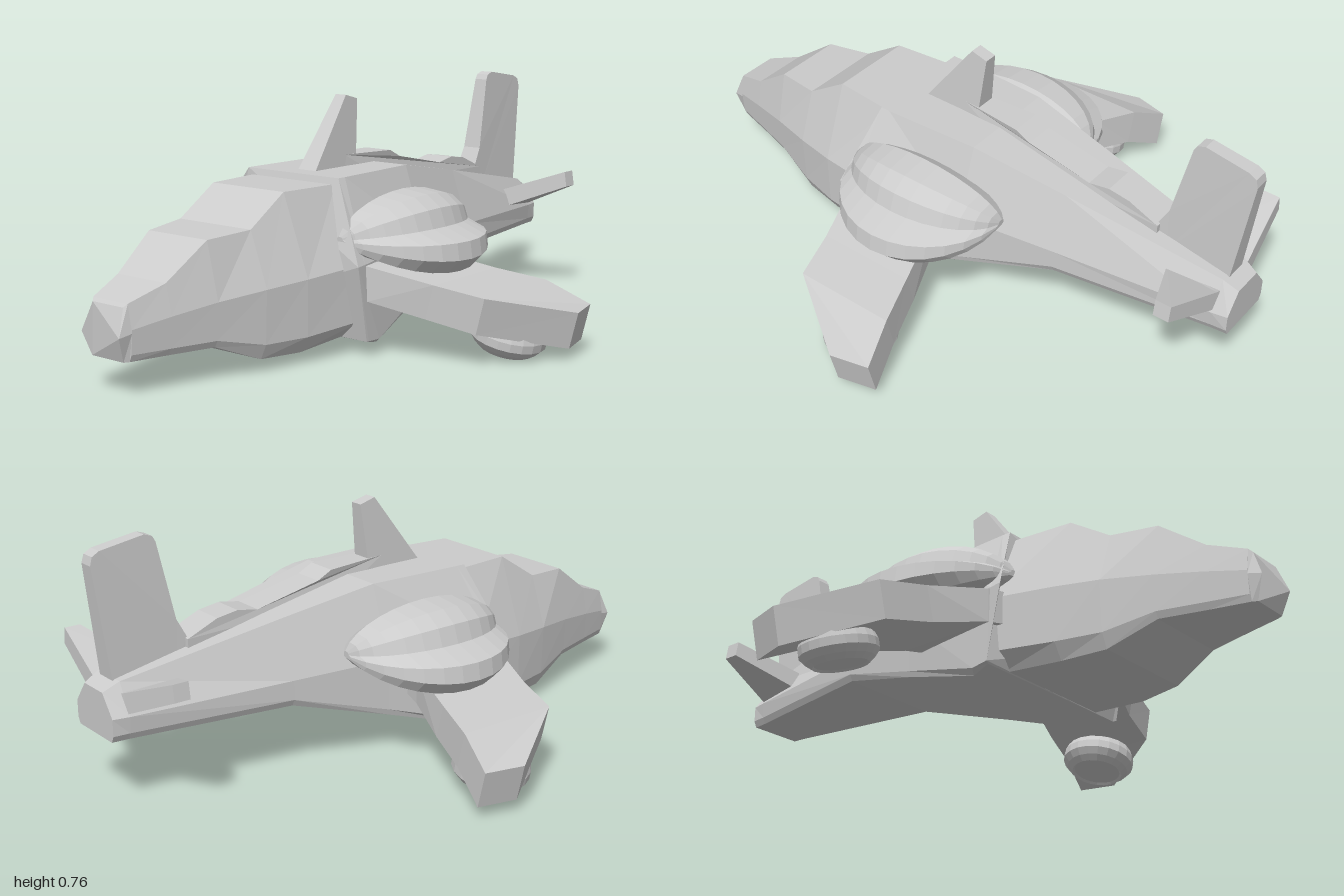
import * as THREE from 'three';

const material = new THREE.MeshStandardMaterial({ color: 0xcccccc, flatShading: true });

// Triangulates a closed ring of points, projected along its main axis
function capRing(ring) {
  const n = new THREE.Vector3();
  ring.forEach((p, i) => {
    const q = ring[(i + 1) % ring.length];
    n.x += (p[1] - q[1]) * (p[2] + q[2]);
    n.y += (p[2] - q[2]) * (p[0] + q[0]);
    n.z += (p[0] - q[0]) * (p[1] + q[1]);
  });
  const size = [Math.abs(n.x), Math.abs(n.y), Math.abs(n.z)];
  const k = size.indexOf(Math.max(...size));
  const a = (k + 1) % 3, b = (k + 2) % 3;
  const flip = n.getComponent(k) < 0;
  const flat = ring.map((p) => new THREE.Vector2(p[a], p[b]));
  if (flip) flat.reverse();
  const last = ring.length - 1;
  return THREE.ShapeUtils.triangulateShape(flat, []).map((t) => {
    const f = flip ? t.map((i) => last - i).reverse() : t;
    return f.map((i) => ring[i]);
  });
}

// Flat-shaded closed skin through rings with equal point counts
function loft(rings) {
  const tris = [];
  const count = rings[0].length;
  for (let r = 0; r < rings.length - 1; r++) {
    for (let i = 0; i < count; i++) {
      const j = (i + 1) % count;
      const a = rings[r][i], b = rings[r][j], c = rings[r + 1][j], d = rings[r + 1][i];
      tris.push([a, b, c], [a, c, d]);
    }
  }
  capRing(rings[0]).forEach(([a, b, c]) => tris.push([a, c, b]));
  capRing(rings[rings.length - 1]).forEach((t) => tris.push(t));
  // Turn the skin outward if it came out inside out
  let volume = 0;
  const [va, vb, vc] = [new THREE.Vector3(), new THREE.Vector3(), new THREE.Vector3()];
  for (const [a, b, c] of tris) volume += va.set(...a).dot(vb.set(...b).cross(vc.set(...c)));
  if (volume < 0) tris.forEach((t) => t.reverse());
  const g = new THREE.BufferGeometry();
  g.setAttribute('position', new THREE.Float32BufferAttribute(tris.flat(2), 3));
  g.computeVertexNormals();
  return g;
}

// Closes a left half section (top to bottom) with its mirror image
const symmetric = (half) => [...half, ...half.map(([x, y, z]) => [-x, y, z]).reverse()];

// Upright slab from a [z, y] side profile, with half width depending on y and z
const slab = (profile, width) => loft([1, -1].map((s) => profile.map(([z, y]) => [s * width(y, z), y, z])));

export function createModel() {
  const model = new THREE.Group();
  const add = (name, geometry, parent = model) => {
    const mesh = new THREE.Mesh(geometry, material);
    mesh.name = name;
    parent.add(mesh);
    return mesh;
  };

  // Rear hull: top edge, widest edge, lower edge as [x, y, z]
  add('rearHull', loft([
    [[0.18, 0.52, 0.21], [0.312, 0.28, 0.28], [0.312, 0.05, 0.23], [0.3, 0.045, 0.225]],
    [[0.18, 0.52, 0.18], [0.305, 0.28, 0.24], [0.305, 0.045, 0.17], [0.285, 0.03, 0.16]],
    [[0.165, 0.52, -0.14], [0.24, 0.3, -0.14], [0.24, 0.14, -0.14], [0.235, 0.122, -0.14]],
    [[0.125, 0.465, -0.45], [0.185, 0.29, -0.45], [0.185, 0.23, -0.45], [0.175, 0.21, -0.45]],
    [[0.06, 0.37, -0.95], [0.11, 0.28, -0.95], [0.105, 0.23, -0.95], [0.095, 0.21, -0.95]],
    [[0.05, 0.345, -1], [0.1, 0.28, -1], [0.1, 0.23, -1], [0.09, 0.21, -1]],
  ].map(symmetric)));

  // Nose and canopy: z, then top, widest, lower and bottom edge as y and half width
  add('nose', loft([
    [0.2, 0.5, 0.16, 0.27, 0.265, 0.1, 0.265, 0.05, 0.21],
    [0.41, 0.5, 0.14, 0.255, 0.232, 0.085, 0.23, 0.035, 0.2],
    [0.55, 0.41, 0.14, 0.245, 0.2, 0.085, 0.195, 0.04, 0.175],
    [0.7, 0.4, 0.115, 0.23, 0.155, 0.12, 0.15, 0.1, 0.14],
    [0.84, 0.3, 0.095, 0.21, 0.115, 0.12, 0.11, 0.1, 0.1],
    [0.955, 0.26, 0.068, 0.19, 0.082, 0.12, 0.078, 0.1, 0.07],
  ].map(([z, yt, wt, ym, wm, yl, wl, yb, wb]) => symmetric([[wt, yt, z], [wm, ym, z], [wl, yl, z], [wb, yb, z]]))));
  add('noseTip', loft([
    [[0.068, 0.26, 0.955], [0.082, 0.18, 0.955], [0.07, 0.1, 0.955]],
    [[0.06, 0.25, 0.965], [0.074, 0.172, 0.995], [0.062, 0.1, 0.97]],
  ].map(symmetric)));

  // Raised spine along the back
  add('spine', slab([[0.13, 0.51], [0, 0.555], [-0.21, 0.55], [-0.26, 0.525], [-0.48, 0.48], [-0.55, 0.492],
    [-0.62, 0.482], [-0.72, 0.44], [-0.72, 0.38], [-0.2, 0.45], [0.13, 0.48]],
  (y, z) => (z > -0.1 ? 0.032 : 0.05)));

  // Mast and tail fin, both thinner toward the top
  add('mast', slab([[0.15, 0.51], [-0.02, 0.74], [-0.075, 0.725], [-0.05, 0.5]],
    (y) => 0.036 - (y - 0.5) * 0.065));
  add('tailFin', slab([[-0.69, 0.4], [-0.715, 0.445], [-0.745, 0.5], [-0.795, 0.735], [-0.805, 0.752], [-0.83, 0.76],
    [-0.97, 0.738], [-0.993, 0.725], [-1, 0.7], [-0.955, 0.34], [-0.75, 0.36]],
  (y) => 0.036 - Math.max(0, y - 0.42) * 0.042));

  // Pod cross-section [x, y]: a rounded upper lobe, a groove and an outer rim
  const podSection = [[0.18, 0.42], [0.25, 0.47], [0.34, 0.46], [0.39, 0.425], [0.41, 0.37],
    [0.5, 0.338], [0.508, 0.285], [0.465, 0.242], [0.29, 0.265], [0.18, 0.3]];
  const podRings = [];
  for (let i = 0; i <= 14; i++) {
    const a = 0.1 + (i / 14) * (Math.PI - 0.2);
    const s = Math.sin(a), z = -0.015 + 0.278 * Math.cos(a);
    podRings.push(podSection.map(([x, y]) => [0.22 + (x - 0.22) * s, 0.345 + (y - 0.345) * s, z]));
  }
  const podGeometry = loft(podRings);

  // Drooping wing: x, front z, rear x, rear z, top y, bottom y
  const wingGeometry = loft([
    [0.18, 0.26, 0.18, -0.06, 0.29, 0.19],
    [0.31, 0.235, 0.31, -0.09, 0.275, 0.17],
    [0.5, 0.17, 0.5, -0.15, 0.235, 0.13],
    [0.65, 0.13, 0.65, -0.2, 0.21, 0.1],
    [0.81, -0.12, 0.78, -0.24, 0.147, 0.035],
  ].map(([xf, zf, xr, zr, top, bottom]) => {
    const inset = xf > 0.4 ? 0.028 : 0;
    return [[xf, top, zf], [xr, top, zr], [xr - inset, bottom, zr], [xf - inset, bottom, zf]];
  }));

  // Tailplane sloping upward to its tip
  const tailplaneGeometry = loft([
    [[0.04, 0.34, -0.76], [0.04, 0.33, -0.96], [0.04, 0.27, -0.96], [0.04, 0.275, -0.76]],
    [[0.09, 0.35, -0.785], [0.09, 0.345, -0.953], [0.1, 0.285, -0.953], [0.1, 0.29, -0.785]],
    [[0.3, 0.425, -0.875], [0.3, 0.425, -0.925], [0.308, 0.375, -0.925], [0.308, 0.375, -0.875]],
  ]);

  // Thruster disc with a stepped rim
  const thrusterGeometry = new THREE.LatheGeometry(
    [[0, -0.044], [0.075, -0.044], [0.082, -0.05], [0.1, -0.035], [0.116, -0.015], [0.116, 0.01], [0.1, 0.05], [0, 0.05]]
      .map(([r, y]) => new THREE.Vector2(r, y)), 20);

  // Side parts, built on the left and mirrored to the right
  for (const side of ['left', 'right']) {
    const group = new THREE.Group();
    group.name = side + 'Side';
    add(side + 'Pod', podGeometry, group);
    add(side + 'Wing', wingGeometry, group);
    add(side + 'Tailplane', tailplaneGeometry, group);
    const thruster = add(side + 'Thruster', thrusterGeometry, group);
    thruster.position.set(0.612, 0.068, -0.06);
    thruster.rotation.z = -0.24;
    if (side === 'right') group.scale.x = -1;
    model.add(group);
  }
  return model;
}
